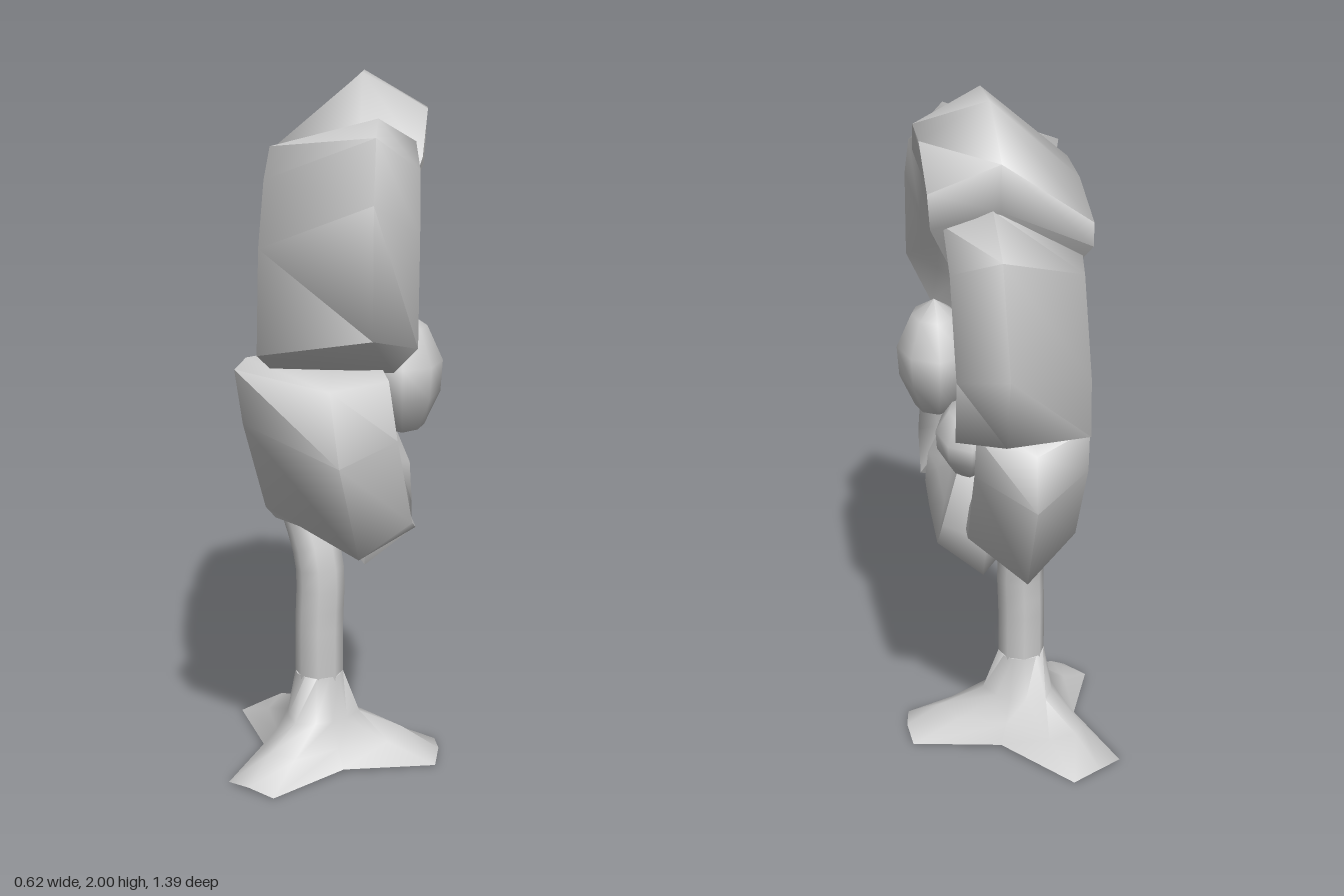
import * as THREE from 'three';
import { toCreasedNormals } from 'three/addons/utils/BufferGeometryUtils.js';

const material = new THREE.MeshStandardMaterial({ color: 0xcccccc, side: THREE.DoubleSide });

function addMesh(parent, name, geometry) {
  const mesh = new THREE.Mesh(geometry, material);
  mesh.name = name;
  parent.add(mesh);
  return mesh;
}

// Closed skin over rings of equal length, with a centre point at each end
function skin(first, rings, last, crease) {
  const n = rings[0].length;
  const pos = [];
  const tri = (...pts) => pts.forEach((p) => pos.push(...p));
  for (let i = 0; i < n; i++) {
    const j = (i + 1) % n;
    tri(first, rings[0][i], rings[0][j]);
    for (let k = 0; k + 1 < rings.length; k++) {
      const a = rings[k], b = rings[k + 1];
      tri(a[i], b[i], a[j]);
      tri(b[i], b[j], a[j]);
    }
    const end = rings[rings.length - 1];
    tri(last, end[j], end[i]);
  }
  const geometry = new THREE.BufferGeometry();
  geometry.setAttribute('position', new THREE.Float32BufferAttribute(pos, 3));
  return toCreasedNormals(geometry, crease);
}

// Petal: outline of [z, y] points, thickening in x away from the flower's hub.
// The tip is drawn in by frontDrop and backDrop so that the rim is domed.
const HUB = { x: 0.03, y: 1.27, z: 0 };
function petalGeometry({ outline, back, mid, front, backDrop, frontDrop, lean = 0 }) {
  const n = outline.length;
  const cz = outline.reduce((s, p) => s + p[0], 0) / n;
  const cy = outline.reduce((s, p) => s + p[1], 0) / n;
  const axis = new THREE.Vector2(cz - HUB.z, cy - HUB.y).normalize();
  const dist = ([z, y]) => Math.hypot(z - HUB.z, y - HUB.y);
  const reach = Math.max(...outline.map(dist));
  const ring = (scale, hubX, rimX, drop, flare) => outline.map((p) => {
    const t = Math.min(1, (dist(p) / reach) * flare);
    const along = ((p[0] - HUB.z) * axis.x + (p[1] - HUB.y) * axis.y) / reach;
    const pull = drop * Math.max(0, along) ** 2;
    const s = scale > 0.8 ? 1 - (1 - scale) * t * t : scale;
    const y = cy + (p[1] - cy) * s - axis.y * pull;
    const z = cz + (p[0] - cz) * s - axis.x * pull;
    return [THREE.MathUtils.lerp(hubX, rimX, t) + lean * (y - cy) * t, y, z];
  });
  const rings = [
    ring(0.5, HUB.x + 0.05, front - 0.03, frontDrop, 1.1),
    ring(0.93, HUB.x + 0.03, front, frontDrop, 1.15),
    ring(1.01, HUB.x, mid, 0, 1.25),
    ring(0.95, HUB.x - 0.06, back, backDrop, 1.4),
    ring(0.5, HUB.x - 0.07, back + 0.01, backDrop, 1.25),
  ];
  const centre = (r) => [0, 1, 2].map((k) => r.reduce((s, p) => s + p[k], 0) / n);
  return skin(centre(rings[0]), rings, centre(rings[4]), 1.3);
}

const petals = [
  { name: 'topPetal', back: -0.17, mid: 0.07, front: 0.25, backDrop: 0.2, frontDrop: 0.08,
    outline: [[-0.09, 1.43], [-0.39, 1.77], [-0.4, 1.89], [-0.19, 2], [0, 2], [0.21, 1.84], [0.2, 1.68], [0.14, 1.48], [0, 1.27]] },
  { name: 'upperFrontPetal', back: -0.17, mid: 0.12, front: 0.23, backDrop: 0.19, frontDrop: 0.12,
    outline: [[0.12, 1.5], [0.2, 1.7], [0.23, 1.89], [0.48, 1.86], [0.68, 1.72], [0.69, 1.4], [0.45, 1.27], [0.2, 1.24], [0, 1.25]] },
  { name: 'lowerFrontPetal', back: -0.2, mid: 0.04, front: 0.19, backDrop: 0.16, frontDrop: 0.1, lean: -0.15,
    outline: [[0, 1.25], [0.2, 1.27], [0.45, 1.28], [0.6, 1.25], [0.66, 1.07], [0.5, 0.78], [0.28, 0.73], [0.21, 0.85], [0.13, 1.02]] },
  { name: 'bottomPetal', back: -0.01, mid: 0.09, front: 0.22, backDrop: 0.12, frontDrop: 0.1,
    outline: [[0, 1.24], [0.16, 1.02], [0.24, 0.8], [0.23, 0.67], [0.1, 0.63], [-0.15, 0.63], [-0.24, 0.78], [-0.15, 1.02]] },
  { name: 'lowerBackPetal', back: -0.15, mid: 0, front: 0.15, backDrop: 0.14, frontDrop: 0.14,
    outline: [[0, 1.25], [-0.13, 1], [-0.22, 0.76], [-0.4, 0.73], [-0.56, 1.02], [-0.54, 1.17], [-0.46, 1.21], [-0.25, 1.24]] },
  { name: 'upperBackPetal', back: -0.15, mid: 0.09, front: 0.21, backDrop: 0.23, frontDrop: 0.07,
    outline: [[0, 1.25], [-0.24, 1.23], [-0.4, 1.22], [-0.62, 1.24], [-0.69, 1.44], [-0.56, 1.69], [-0.39, 1.77], [-0.23, 1.62], [-0.07, 1.43]] },
];

// Three spreading roots that merge upwards into the stem, hollow beneath
function rootGeometry(x, z) {
  const roots = [[0, 0.36], [121, 0.37], [236, 0.335]];
  // Each level: edge radius, edge spread, edge y, ridge radius, ridge y, valley radius, valley y
  const levels = [
    [0.071, 0.55, 0.26, 0.071, 0.26, 0.071, 0.26],
    [0.1, 0.55, 0.13, 0.12, 0.13, 0.095, 0.13],
    [0.22, 0.3, 0.06, 0.25, 0.08, 0.13, 0.06],
    [0.36, 0.25, 0, 0.36, 0.012, 0.17, 0.01],
  ];
  const rings = levels.map(([er, spread, ey, rr, ry, vr, vy]) =>
    roots.flatMap(([deg, length], i) => {
      const a = THREE.MathUtils.degToRad(deg);
      const next = THREE.MathUtils.degToRad(i < 2 ? roots[i + 1][0] : 360);
      const grow = er > 0.2 ? length / 0.36 : 1;
      const point = (r, y, t) => [x + r * Math.cos(t), y, z - r * Math.sin(t)];
      return [
        point(er * grow, ey, a - spread),
        point(rr * grow, ry, a),
        point(er * grow, ey, a + spread),
        point(vr, vy, (a + next) / 2),
      ];
    }));
  return skin([x, 0.26, z], rings, [x, 0.05, z], 1.3);
}

// Bud: faceted drop with a pointed top
function addBud(parent, name, [x, y, z], [sx, sy, sz], tilt) {
  const profile = [[0, -1], [0.55, -0.85], [0.95, -0.3], [1, 0.2], [0.6, 0.75], [0, 1]]
    .map(([r, h]) => new THREE.Vector2(r, h));
  const bud = addMesh(parent, name, new THREE.LatheGeometry(profile, 8));
  bud.position.set(x, y, z);
  bud.scale.set(sx, sy, sz);
  bud.rotation.x = tilt;
}

export function createModel() {
  const model = new THREE.Group();
  model.name = 'flowerPlant';

  addMesh(model, 'roots', rootGeometry(-0.05, 0.03));

  // Stem, bowing backwards and curling into the hub
  const path = new THREE.CatmullRomCurve3([
    [-0.05, 0.22, 0.03], [-0.05, 0.4, 0.03], [-0.05, 0.6, 0.02], [-0.11, 0.8, -0.03],
    [-0.18, 1.05, 0.01], [-0.13, 1.2, 0.01], [0.02, 1.3, 0],
  ].map((p) => new THREE.Vector3(...p)));
  addMesh(model, 'stem', new THREE.TubeGeometry(path, 20, 0.071, 8));

  // Flower head facing +x
  const head = new THREE.Group();
  head.name = 'flowerHead';
  model.add(head);
  for (const petal of petals) addMesh(head, petal.name, petalGeometry(petal));
  const hub = addMesh(head, 'hub', new THREE.SphereGeometry(1, 12, 8));
  hub.position.set(0.02, 1.26, 0);
  hub.scale.set(0.08, 0.22, 0.2);

  addBud(head, 'largeBud', [0.19, 1.2, 0.135], [0.11, 0.175, 0.155], 0);
  addBud(head, 'smallBud', [0.13, 1.065, -0.145], [0.09, 0.115, 0.11], -0.2);

  return model;
}
